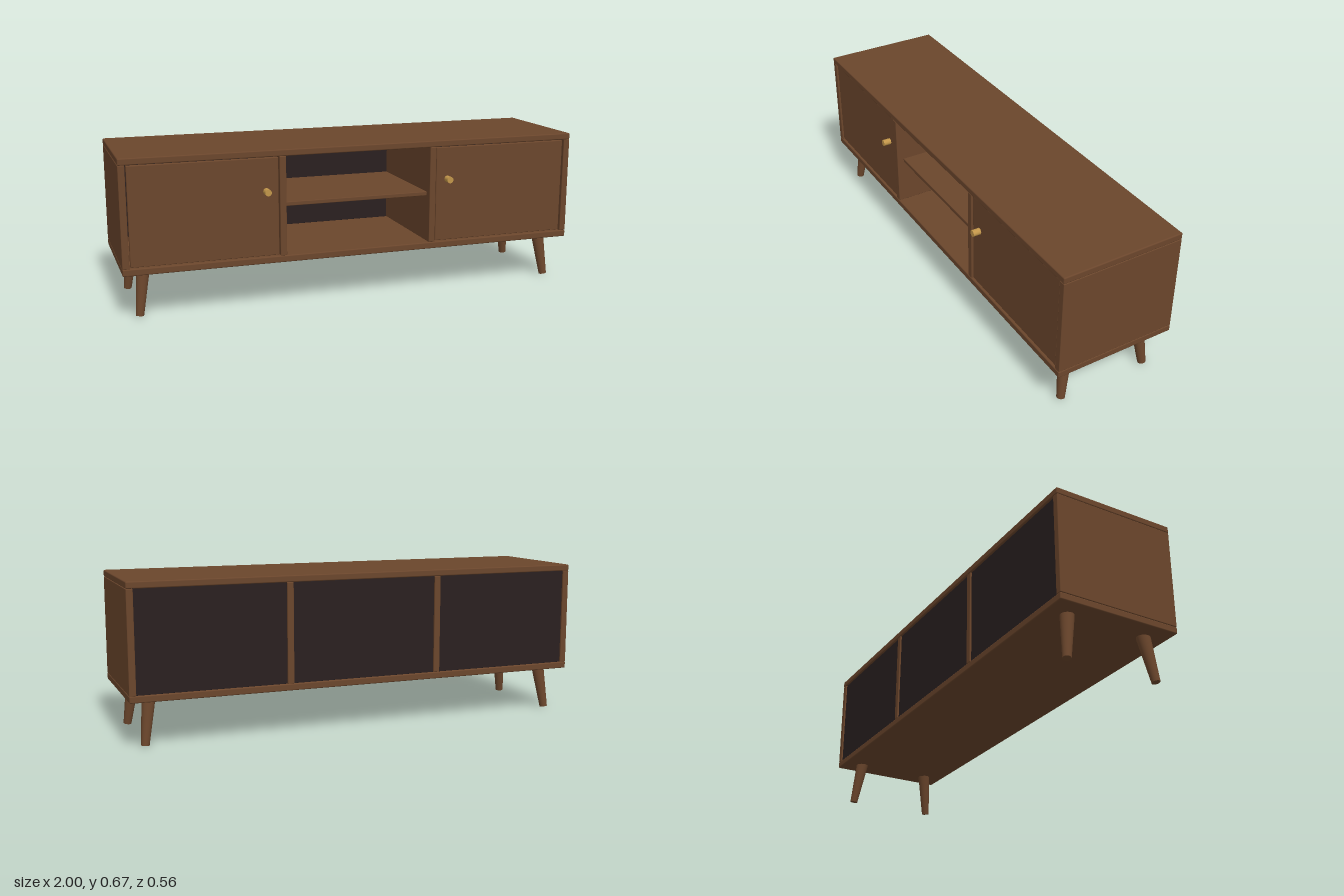
import * as THREE from 'three';
import { RoundedBoxGeometry } from 'three/addons/geometries/RoundedBoxGeometry.js';

const material = (name, color) => {
  const m = new THREE.MeshStandardMaterial({ color });
  m.name = name;
  return m;
};

export function createModel() {
  const group = new THREE.Group();
  group.name = 'mediaCabinet';
  const wood = material('walnut', 0x6b462c);
  const dark = material('dark backing', 0x2a2020);
  const brass = material('brass', 0xc2964a);

  const add = (name, geometry, mat) => {
    const mesh = new THREE.Mesh(geometry, mat);
    mesh.name = name;
    group.add(mesh);
    return mesh;
  };
  // Softly rounded board given by its extents on each axis
  const board = (name, [x0, x1], [y0, y1], [z0, z1], mat = wood, r = 0.003) =>
    add(name, new RoundedBoxGeometry(x1 - x0, y1 - y0, z1 - z0, 2, r), mat)
      .position.set((x0 + x1) / 2, (y0 + y1) / 2, (z0 + z1) / 2);

  const back = -0.278, front = 0.253, low = 0.221, high = 0.641;

  // Top and bottom slabs
  board('top', [-1, 1], [high, 0.669], [back, front], wood, 0.005);
  board('bottom', [-1, 1], [0.192, low], [back, front], wood, 0.005);

  // Open shelf in the middle bay
  board('shelf', [-0.321, 0.321], [0.424, 0.442], [-0.262, 0.222]);

  // Dark panels closing the three bays at the back
  for (const [x0, x1] of [[-0.972, -0.349], [-0.321, 0.321], [0.349, 0.972]])
    board('backPanel', [x0, x1], [low, high], [-0.27, -0.26], dark, 0.001);

  for (const s of [-1, 1]) {
    const span = (a, b) => (s > 0 ? [a, b] : [-b, -a]);
    board('sidePanel', span(0.972, 1), [low, high], [back + 0.001, front - 0.001]);
    board('divider', span(0.321, 0.349), [low, high], [back + 0.001, front - 0.001]);
    board('door', span(0.353, 0.967), [low + 0.004, high - 0.004], [0.226, 0.246]);

    // Round door knob
    const knob = add('knob', new THREE.CylinderGeometry(0.014, 0.014, 0.036, 24), brass);
    knob.rotation.x = Math.PI / 2;
    knob.position.set(s * 0.405, 0.498, 0.262);

    // Tapered legs splayed outward to the corners
    for (const [zTop, zFoot] of [[0.161, 0.187], [-0.187, -0.212]]) {
      const top = new THREE.Vector3(s * 0.908, 0.196, zTop);
      const foot = new THREE.Vector3(s * 0.932, 0.003, zFoot);
      const axis = top.clone().sub(foot);
      const leg = add('leg', new THREE.CylinderGeometry(0.028, 0.017, axis.length(), 24), wood);
      leg.position.copy(top).add(foot).multiplyScalar(0.5);
      leg.quaternion.setFromUnitVectors(new THREE.Vector3(0, 1, 0), axis.normalize());
    }
  }
  return group;
}
